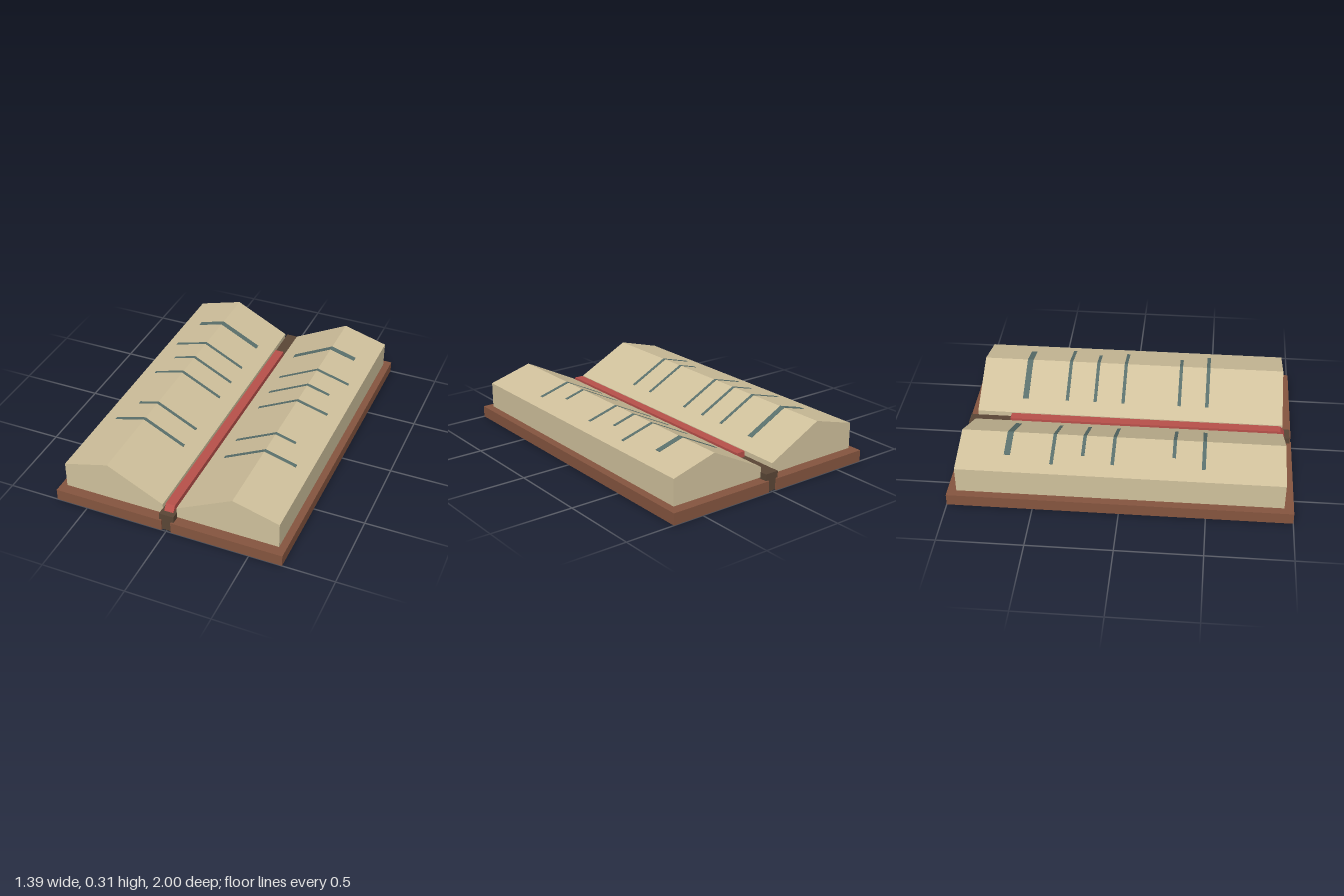
import * as THREE from 'three';

const mat = (color) => new THREE.MeshStandardMaterial({ color, flatShading: true });
const leather = mat(0x85553f), spineMat = mat(0x5a4636), paper = mat(0xd0c19c);
const ink = mat(0x5a706c), red = mat(0xb8504a);

// Extrude a closed outline along z, centred on z = 0
function prism(points, depth) {
  const shape = new THREE.Shape(points.map(([x, y]) => new THREE.Vector2(x, y)));
  return new THREE.ExtrudeGeometry(shape, { depth, bevelEnabled: false }).translate(0, 0, -depth / 2);
}

function add(parent, name, geometry, material) {
  const mesh = new THREE.Mesh(geometry, material);
  mesh.name = name;
  parent.add(mesh);
  return mesh;
}

// Page profile: gutter rises to a ridge, then falls to the fore edge
const GUTTER = [0.042, 0.14], RIDGE = [0.38, 0.312], EDGE = [0.655, 0.235];
function pageHeight(x) {
  const [a, b] = x < RIDGE[0] ? [GUTTER, RIDGE] : [RIDGE, EDGE];
  return a[1] + (b[1] - a[1]) * (x - a[0]) / (b[0] - a[0]);
}

// Ruled lines: [z, width, outer x]
const LINES = [
  [-0.657, 0.036, 0.54], [-0.395, 0.02, 0.588], [-0.22, 0.02, 0.52],
  [-0.045, 0.02, 0.572], [0.305, 0.02, 0.503], [0.477, 0.022, 0.572],
];

export function createModel() {
  const group = new THREE.Group();
  group.name = 'openBook';

  for (const [side, s] of [['left', 1], ['right', -1]]) {
    const mirror = (pts) => pts.map(([x, y]) => [s * x, y]);

    // Cover board
    const cover = new THREE.BoxGeometry(0.667, 0.07, 2).translate(s * 0.3615, 0.035, 0);
    add(group, side + 'Cover', cover, leather);

    // Page block
    const block = prism(mirror([[0.042, 0.077], GUTTER, RIDGE, EDGE, [0.655, 0.077]]), 1.89);
    add(group, side + 'Pages', block, paper);

    // Ruled lines folded over the ridge
    for (const [z, width, outer] of LINES) {
      const xs = [0.13, RIDGE[0], outer];
      const top = xs.map((x) => [x, pageHeight(x) + 0.002]);
      const bottom = xs.map((x) => [x, pageHeight(x) - 0.004]).reverse();
      const line = prism(mirror([...top, ...bottom]), width);
      add(group, side + 'PageLine', line, ink).position.z = z;
    }
  }

  // Spine
  add(group, 'spine', new THREE.BoxGeometry(0.088, 0.109, 1.98).translate(0, 0.0555, 0), spineMat);

  // Ribbon with a sloping front end, outlined in z and y then turned to run along z
  const ribbon = prism([[0.73, 0.1], [0.73, 0.145], [-0.932, 0.145], [-0.957, 0.11], [-0.957, 0.1]], 0.056);
  add(group, 'ribbon', ribbon.rotateY(Math.PI / 2), red);

  return group;
}
